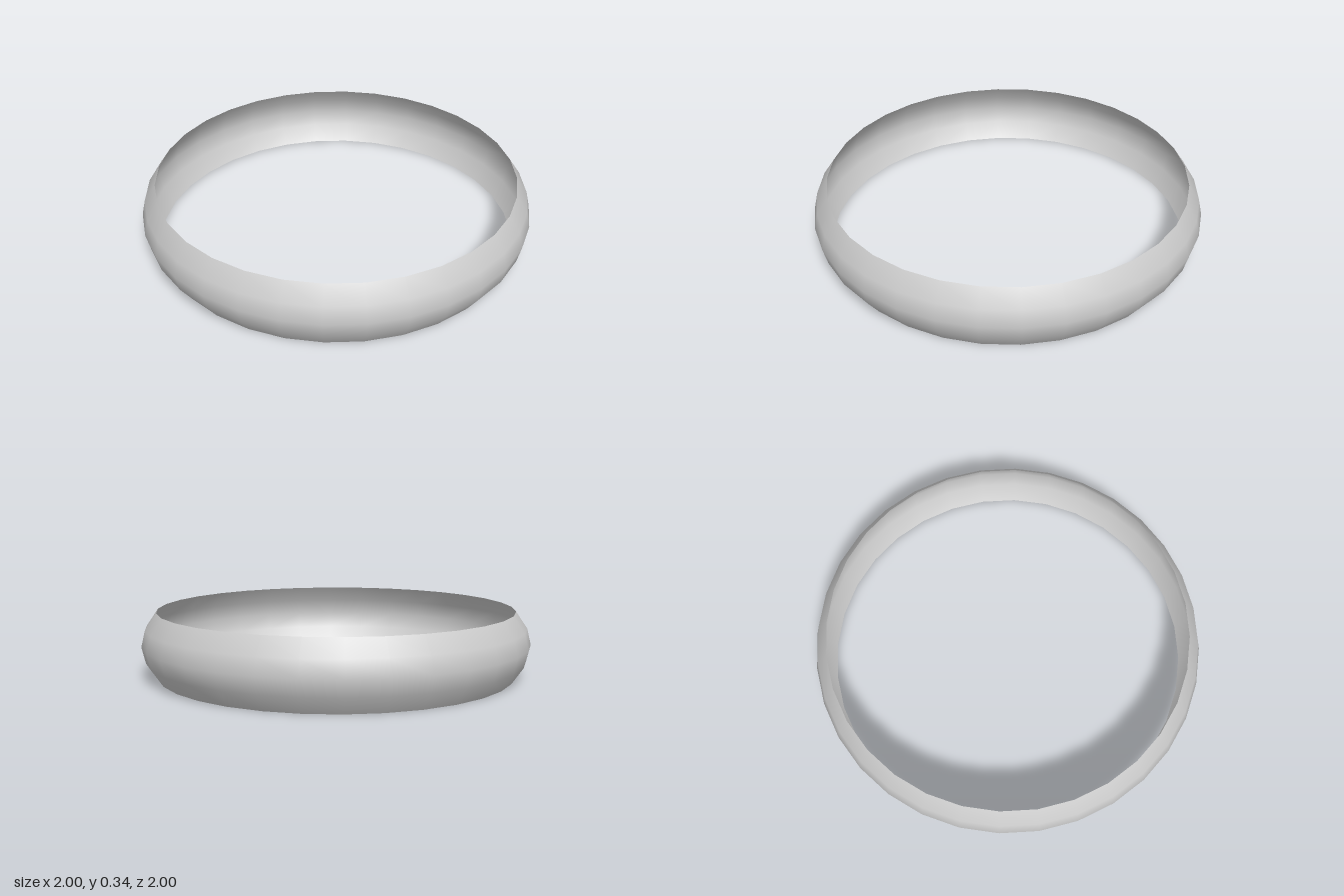
import * as THREE from 'three';

export function createModel() {
  const group = new THREE.Group();
  const segments = 32;
  const halfStep = Math.PI / segments;
  // widen radii so the flat facets facing each axis sit at the measured distance
  const scale = 1 / Math.cos(halfStep);

  // bulging cross-section of the thin band, bottom to top
  const profile = [
    [0.922, 0], [0.98, 0.085], [1, 0.169], [0.98, 0.253], [0.922, 0.338],
  ].map(([r, y]) => new THREE.Vector2(r * scale, y));

  const band = new THREE.Mesh(
    new THREE.LatheGeometry(profile, segments, halfStep),
    new THREE.MeshStandardMaterial({ color: 0xcccccc, side: THREE.DoubleSide }),
  );
  band.name = 'ringBand';
  group.add(band);
  return group;
}
